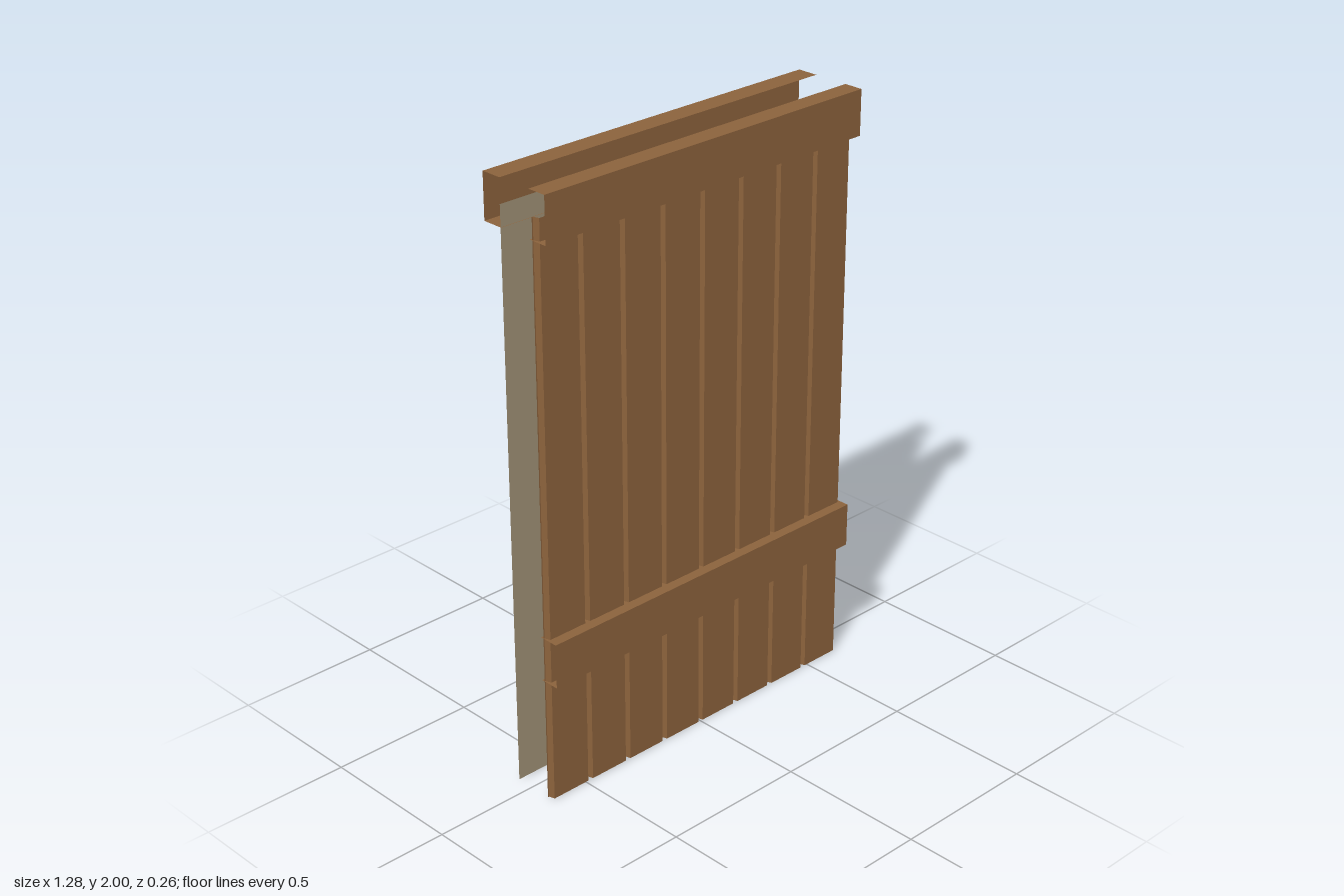
import * as THREE from 'three';

const W = 1.28, HALF = W / 2, PANEL_H = 1.92;

// Sheet made by sweeping an open section; each segment keeps its own corners for crisp folds.
function foldedSheet(name, points, sweep, material) {
  const pos = [];
  for (let i = 0; i < points.length - 1; i++) {
    const [a, b] = [sweep(points[i], 0), sweep(points[i + 1], 0)];
    const [c, d] = [sweep(points[i + 1], 1), sweep(points[i], 1)];
    pos.push(...a, ...b, ...c, ...a, ...c, ...d);
  }
  const geo = new THREE.BufferGeometry();
  geo.setAttribute('position', new THREE.Float32BufferAttribute(pos, 3));
  geo.computeVertexNormals();
  const mesh = new THREE.Mesh(geo, material);
  mesh.name = name;
  return mesh;
}

export function createModel() {
  const group = new THREE.Group();
  group.name = 'plankWall';
  const wood = new THREE.MeshStandardMaterial({ color: 0x8b623c, side: THREE.DoubleSide });
  wood.name = 'brown wood';
  const backing = new THREE.MeshStandardMaterial({ color: 0xa09176, side: THREE.DoubleSide });
  backing.name = 'tan backing';

  // Eight boards separated by narrow V-sided grooves, folded from one sheet
  const boards = 8, pitch = W / boards, front = 0.095, floor = 0.075;
  const section = [[-HALF, floor]];
  for (let i = 0; i < boards; i++) {
    const x0 = -HALF + i * pitch, x1 = x0 + pitch;
    section.push([x0 + 0.004, floor], [x0 + 0.01, front], [x1 - 0.01, front], [x1 - 0.004, floor]);
  }
  section.push([HALF, floor]);
  group.add(foldedSheet('frontPlanks', section, ([x, z], t) => [x, t * PANEL_H, z], wood));

  // Flat sheet on the rear
  const panel = new THREE.Mesh(new THREE.PlaneGeometry(W, PANEL_H), backing);
  panel.name = 'backPanel';
  panel.position.set(0, PANEL_H / 2, -0.06);
  group.add(panel);

  // Horizontal rails: channels with open ends, lips turned towards the wall
  const rail = (name, y0, y1, zOuter, zInner) => {
    const lip = [[y1, zInner], [y1, zOuter], [y0, zOuter], [y0, zInner]];
    if (zOuter < 0) lip.reverse();
    group.add(foldedSheet(name, lip, ([y, z], t) => [-HALF + t * W, y, z], wood));
  };
  rail('frontTopRail', 1.85, 2, 0.13, 0.064);
  rail('frontLowerRail', 0.42, 0.57, 0.13, 0.064);
  rail('backTopRail', 1.85, 2, -0.13, -0.058);

  return group;
}
